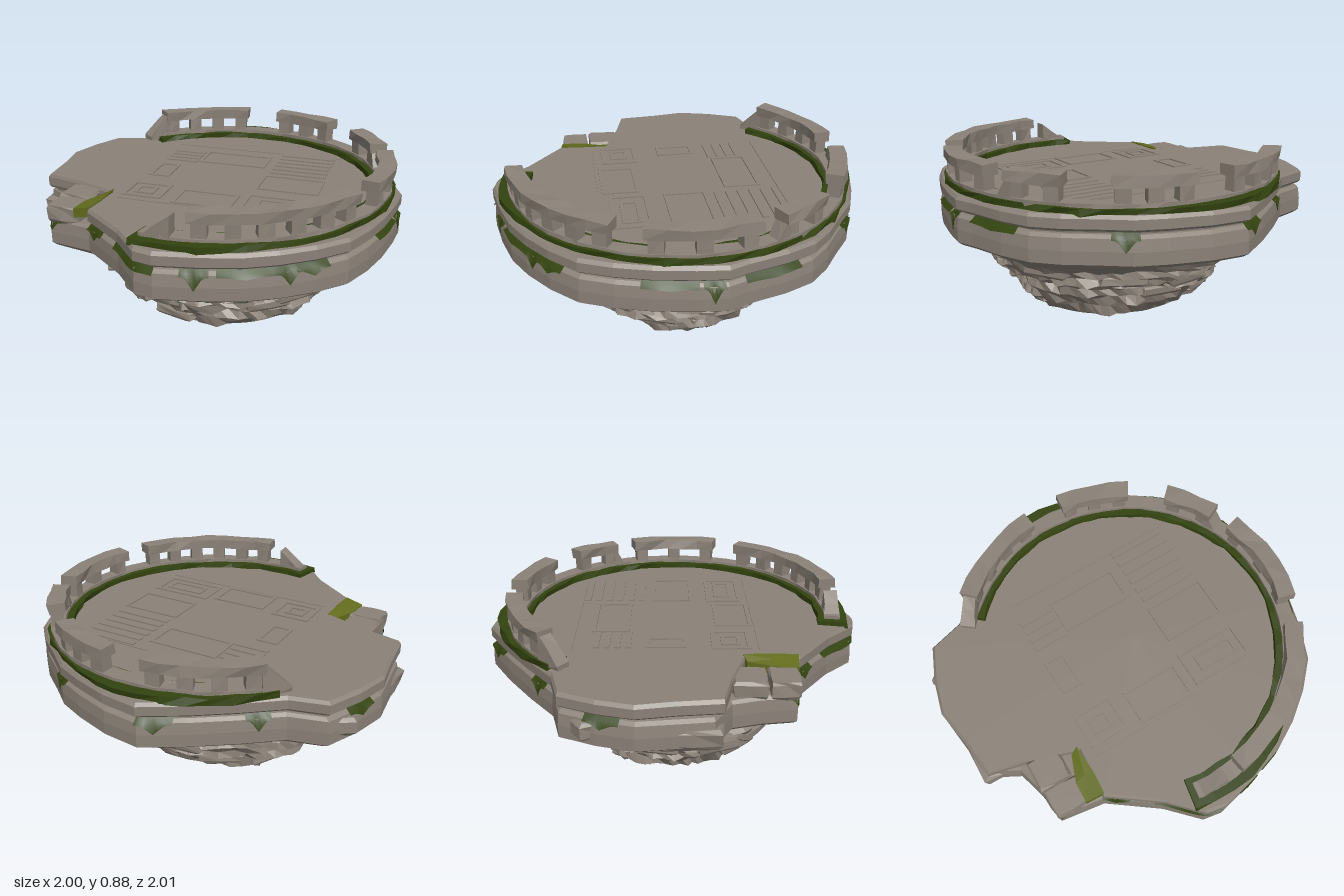
import * as THREE from 'three';

const stone = new THREE.MeshStandardMaterial({ color: 0x8b8278 });
stone.name = 'stone';
const moss = new THREE.MeshStandardMaterial({ color: 0x33430f, side: THREE.DoubleSide });
moss.name = 'dark moss';
const paleMoss = new THREE.MeshStandardMaterial({ color: 0x636c1e, side: THREE.DoubleSide });
paleMoss.name = 'pale moss';

let seed = 7;
const rnd = () => ((seed = (seed * 16807) % 2147483647) / 2147483647) * 2 - 1;
const V = (x, y, z) => new THREE.Vector3(x, y, z);
const rad = THREE.MathUtils.degToRad;

// Outlines (x, z), clockwise from above
const roundSide = [[-1, -.19], [-.95, -.37], [-.87, -.55], [-.68, -.6], [-.5, -.74], [-.3, -.88], [-.1, -1],
  [.1, -.98], [.3, -.92], [.45, -.86], [.58, -.76], [.72, -.66], [.83, -.55], [.9, -.4], [.96, -.2], [1, -.1],
  [.985, .05], [.95, .25], [.9, .42], [.83, .58], [.7, .71], [.55, .82], [.4, .9], [.2, .96], [0, 1], [-.1, .98],
  [-.25, .82], [-.5, .63]];
const deckLine = [...roundSide, [-.48, .36], [-.74, .27], [-.95, .22], [-.97, 0]];
const bodyLine = [...roundSide, [-.74, .59], [-.76, .42], [-.8, .27], [-.96, .18], [-.98, 0]];

// Distance from the middle to an outline along angle a
function reach(line, a) {
  const dx = Math.cos(a), dz = Math.sin(a);
  let best = 0;
  line.forEach(([x1, z1], i) => {
    const [x2, z2] = line[(i + 1) % line.length];
    const ex = x2 - x1, ez = z2 - z1, det = ex * dz - ez * dx;
    if (Math.abs(det) < 1e-9) return;
    const r = (ex * z1 - ez * x1) / det, t = (dx * z1 - dz * x1) / det;
    if (t >= -1e-6 && t <= 1 + 1e-6 && r > best) best = r;
  });
  return best;
}

// Flat-faced skin over a list of closed rings, with end caps
function loft(rows) {
  const p = [], tri = (...v) => v.forEach(q => p.push(q.x, q.y, q.z));
  const n = rows[0].length;
  for (let j = 0; j < rows.length - 1; j++) {
    for (let i = 0; i < n; i++) {
      const k = (i + 1) % n, a = rows[j], b = rows[j + 1];
      tri(a[i], b[i], b[k]);
      tri(a[i], b[k], a[k]);
    }
  }
  [rows[0], rows[rows.length - 1]].forEach((ring, end) => {
    const c = ring.reduce((s, q) => s.add(q), V(0, 0, 0)).divideScalar(n);
    for (let i = 0; i < n; i++) {
      const k = (i + 1) % n;
      if (end) tri(c, ring[k], ring[i]); else tri(c, ring[i], ring[k]);
    }
  });
  const g = new THREE.BufferGeometry();
  g.setAttribute('position', new THREE.Float32BufferAttribute(p, 3));
  g.computeVertexNormals();
  return g;
}

// Curved block around the terrace; section(t, degrees) gives [rIn, rOut, y0, y1]
const CX = .04;
function arcBlock(d0, d1, section, rough = .006) {
  const n = Math.max(1, Math.ceil(Math.abs(d1 - d0) / 7)), rows = [];
  for (let i = 0; i <= n; i++) {
    const d = d0 + (d1 - d0) * i / n, a = rad(d), [ri, ro, y0, y1] = section(i / n, d);
    rows.push([[ro, y1], [ro, y0], [ri, y0], [ri, y1]].map(([r, y]) => {
      const q = r + rnd() * rough;
      return V(CX + q * Math.cos(a), y + rnd() * rough * .5, q * Math.sin(a));
    }));
  }
  return loft(rows);
}

export function createModel() {
  const model = new THREE.Group();
  const add = (name, geo, mat, parent = model) => {
    const m = new THREE.Mesh(geo, mat);
    m.name = name;
    parent.add(m);
    return m;
  };
  const group = name => {
    const g = new THREE.Group();
    g.name = name;
    model.add(g);
    return g;
  };

  // Layered rock below: ledges widen from the foot to the rim
  const ring = bodyLine.flatMap(([x, z], i) => {
    const [x2, z2] = bodyLine[(i + 1) % bodyLine.length];
    return [[x, z], [(x + x2) / 2, (z + z2) / 2]];
  });
  const layers = [[0, 0], [.02, .06], [.085, .13], [.1, .2], [.15, .22], [.17, .3], [.21, .29], [.235, .38],
    [.275, .37], [.295, .48], [.33, .48], [.345, .58], [.38, .66], [.445, .95], [.465, 1], [.53, 1], [.59, .985], [.605, .95]];
  add('rockBody', loft(layers.map(([y, t]) => ring.map(([x, z]) => {
    const a = Math.atan2(z, x), mid = Math.sin(Math.PI * Math.min(t, 1));
    const rough = t > 0 && t < .9 ? 1 : 0;
    const s = t + rough * (rnd() * .04 + .035 * Math.sin(a * 5 + y * 30));
    const bx = .03 + (.445 + .05 * mid) * Math.cos(a), bz = -.01 + .39 * Math.sin(a);
    return V(bx + (x - bx) * s, y + rough * rnd() * .009, bz + (z - bz) * s);
  }))), stone);

  // Deck slab above the groove
  const slab = [[.6, .95], [.617, .955], [.622, .985], [.635, 1], [.683, 1], [.7, .985]];
  add('deckSlab', loft(slab.map(([y, s]) => deckLine.map(([x, z]) => V(x * s, y, z * s)))), stone);

  // Chipped rough stones
  const rocks = group('looseRocks');
  const rock = (x, y, z, w, h, d, turn = 0) => {
    const ringAt = (yy, k) => [[-1, -1], [0, -1.1], [1, -1], [1.05, 0], [1, 1], [0, 1.1], [-1, 1], [-1.05, 0]]
      .map(([u, v]) => V(u * k * w / 2 * (1 + rnd() * .08), yy, v * k * d / 2 * (1 + rnd() * .08)));
    const m = add('rock', loft([ringAt(-h / 2, .8), ringAt(-h / 4, .95), ringAt(h / 3, .95), ringAt(h / 2, .86)]), stone, rocks);
    m.position.set(x, y, z);
    m.rotation.y = turn;
  };
  rock(-.67, .635, .36, .18, .1, .17);
  rock(-.66, .63, .53, .19, .1, .15);
  rock(-.86, .5, .08, .25, .11, .28);
  rock(-.8, .53, -.4, .26, .1, .24, .5);
  for (let i = 0; i < 18; i++) {
    const a = i * 2.4, y = .07 + (i % 6) * .05, r = .37 + y * .85;
    rock(CX * .5 + r * 1.1 * Math.cos(a), y, r * .98 * Math.sin(a), .12, .055, .24, -a);
  }

  // Moss skirt and stone curb under the railing
  const bulge = d => .045 * (Math.exp(-(((d - 88) / 22) ** 2)) + Math.exp(-(((d + 94) / 20) ** 2)));
  add('mossSkirt', arcBlock(-138, 101, (t, d) => [.8, .922 + bulge(d), .69, .728], .01), moss);
  add('curb', arcBlock(-136, 99, () => [.83, .912, .69, .745], .005), stone);

  // Broken railing: [start, end, posts] in degrees from +x towards +z
  const railing = group('railing');
  const spans = [[28, 84, 6], [-17, 18, 3], [-44, -25, 2], [-84, -58, 3], [-134, -97, 4]];
  spans.forEach(([d0, d1, posts]) => {
    add('railBeam', arcBlock(d0, d1, () => [.825, .918, .82, .876], .008), stone, railing);
    for (let i = 0; i < posts; i++) {
      const d = d0 + 3.5 + (d1 - d0 - 7) * i / (posts - 1);
      add('railPost', arcBlock(d - 2.4, d + 2.4, () => [.84, .905, .72, .83], .006), stone, railing);
    }
  });
  // Sloping broken ends
  [[-142, -133, 1], [-22, -27, 1], [98, 89, .75]].forEach(([low, high, k]) => {
    const flip = low > high;
    add('brokenEnd', arcBlock(Math.min(low, high), Math.max(low, high), t => {
      const u = flip ? 1 - t : t;
      return [.835, .912, .71, .735 + .135 * u * k];
    }), stone, railing);
  });

  // Moss hanging from the groove, as thin strips on the wall
  const drips = group('mossDrips');
  [[124, 5, .04], [79, 4, .07], [53, 4, .06], [46, 5, .03], [-2, 3, .08], [10, 8, .01], [-20, 9, .01], [141, 3, .05],
    [-60, 4, .06], [-100, 5, .05], [-130, 4, .06], [-160, 5, .03], [100, 10, .01], [65, 8, .01]].forEach(([d, half, drop]) => {
    const pos = [], idx = [], n = 8;
    for (let i = 0; i <= n; i++) {
      const u = i / n * 2 - 1, a = rad(d + u * half), r = reach(bodyLine, a);
      const low = .585 - drop * Math.max(0, 1 - Math.abs(u) * 1.6);
      [[.618, .962], [.595, .99], [low, 1.006]].forEach(([y, s]) => pos.push(r * s * Math.cos(a), y, r * s * Math.sin(a)));
      if (i) for (const k of [0, 1]) {
        const b = i * 3 + k, c = b - 3;
        idx.push(c, b, c + 1, b, b + 1, c + 1);
      }
    }
    const g = new THREE.BufferGeometry();
    g.setAttribute('position', new THREE.Float32BufferAttribute(pos, 3));
    g.setIndex(idx);
    g.computeVertexNormals();
    add('mossDrip', g, moss, drips);
  });

  // Pale moss patch where the deck edge has broken away
  const patch = loft([.655, .706].map(y => [[-.59, .61], [-.585, .5], [-.53, .36], [-.485, .34], [-.48, .5], [-.49, .62]]
    .map(([x, z]) => V(x, y - (x < -.52 ? .022 : 0), z))));
  add('mossPatch', patch, paleMoss);

  // Worn relief on the floor
  const relief = group('floorRelief');
  const bar = (x0, x1, z0, z1, h = .008) => {
    add('reliefBar', new THREE.BoxGeometry(x1 - x0, h, z1 - z0), stone, relief)
      .position.set((x0 + x1) / 2, .699 + h / 2, (z0 + z1) / 2);
  };
  const frame = (x0, x1, z0, z1, w = .018) => {
    bar(x0, x1, z0, z0 + w);
    bar(x0, x1, z1 - w, z1);
    bar(x0, x0 + w, z0 + w, z1 - w);
    bar(x1 - w, x1, z0 + w, z1 - w);
  };
  const slats = (x0, x1, z0, z1, n) => {
    const step = (z1 - z0) / n;
    for (let i = 0; i < n; i++) bar(x0, x1, z0 + i * step, z0 + (i + .55) * step);
  };
  slats(-.4, -.21, -.42, -.2, 4);
  slats(.25, .57, -.52, -.14, 6);
  frame(-.2, .2, -.44, -.24);
  frame(-.4, -.28, -.15, .06);
  frame(.24, .58, -.12, .1, .01);
  frame(.23, .58, .19, .39);
  frame(.3, .53, .24, .34);
  frame(-.42, -.2, .19, .39);
  frame(-.37, -.26, .24, .34);
  frame(-.13, .19, .22, .42);
  bar(-.42, .6, -.535, -.525, .005);
  bar(-.42, .6, .43, .44, .005);
  return model;
}
